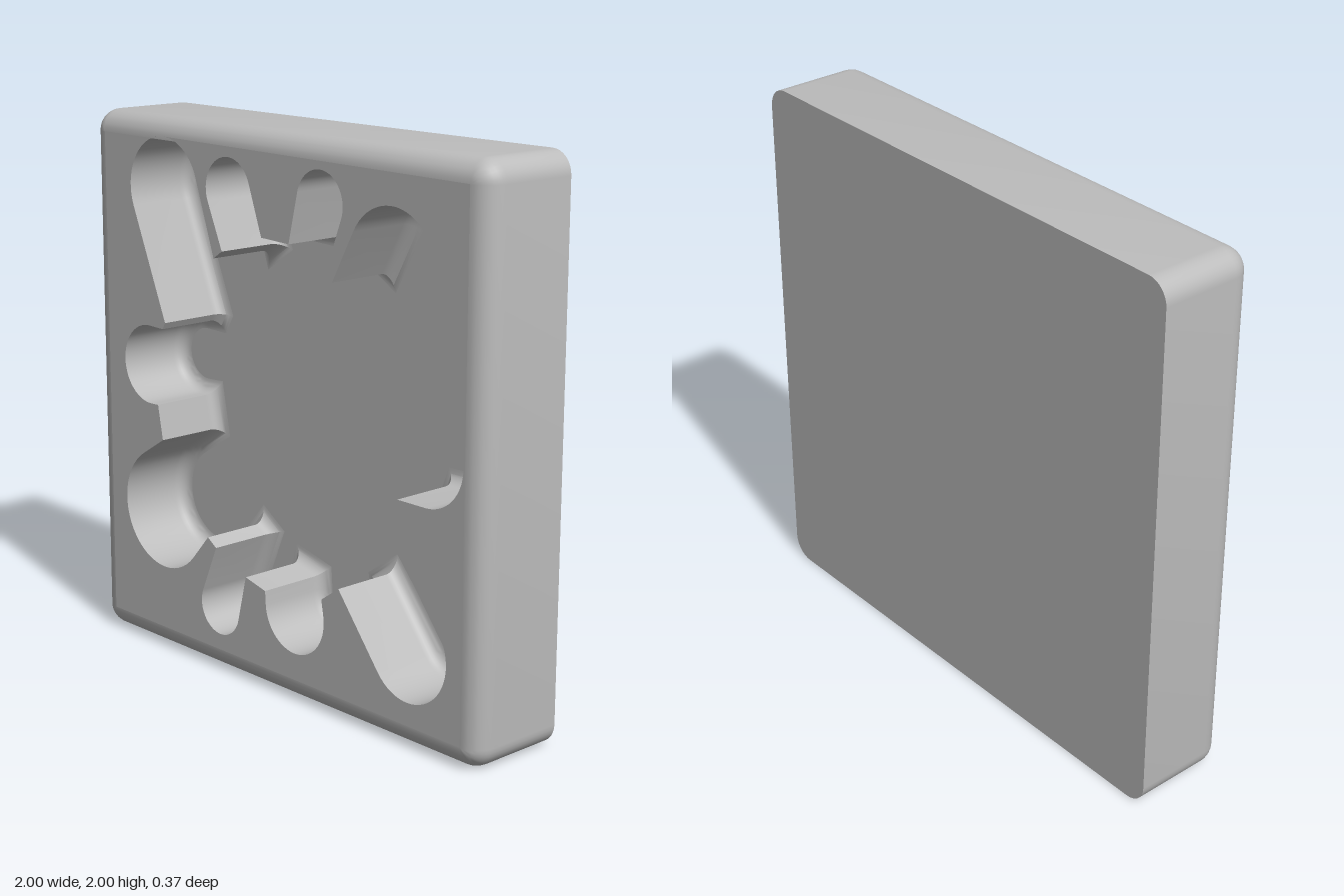
import * as THREE from 'three';
import { toCreasedNormals } from 'three/addons/utils/BufferGeometryUtils.js';

const FRONT = 0.187, BACK = -0.187, EDGE = 0.08;
const FLOOR = -0.09, FILLET = 0.05, STEPS = 8;

// Lobes of the splash, anticlockwise: start corner, circle centre, radius, end corner
const LOBES = [
  [0.62, 0.855, 0.75, 1.02, 0.165, 0.605, 1.18],
  [0.565, 1.275, 0.58, 1.615, 0.2, 0.305, 1.53],
  [0.27, 1.55, 0.243, 1.785, 0.112, 0.09, 1.63],
  [-0.05, 1.635, -0.225, 1.775, 0.118, -0.26, 1.56],
  [-0.305, 1.53, -0.58, 1.74, 0.192, -0.585, 1.255],
  [-0.6, 1.23, -0.68, 1.085, 0.147, -0.635, 0.94],
  [-0.61, 0.81, -0.61, 0.545, 0.225, -0.355, 0.495],
  [-0.31, 0.465, -0.29, 0.245, 0.105, -0.145, 0.395],
  [-0.04, 0.37, 0.115, 0.33, 0.152, 0.255, 0.415],
  [0.34, 0.475, 0.675, 0.34, 0.178, 0.57, 0.73],
];

// Splash outline: each lobe is an arc joined to its corners by tangent lines
function splashOutline() {
  const pts = [];
  for (const [sx, sy, cx, cy, r, ex, ey] of LOBES) {
    const tangent = (x, y) => Math.acos(Math.min(1, r / Math.hypot(x - cx, y - cy)));
    const a = Math.atan2(sy - cy, sx - cx) + tangent(sx, sy);
    let b = Math.atan2(ey - cy, ex - cx) - tangent(ex, ey);
    while (b < a) b += Math.PI * 2;
    pts.push(new THREE.Vector2(sx, sy));
    for (let i = 0; i <= 28; i++) {
      const t = a + (b - a) * i / 28;
      pts.push(new THREE.Vector2(cx + r * Math.cos(t), cy + r * Math.sin(t)));
    }
    pts.push(new THREE.Vector2(ex, ey));
  }
  return pts;
}

// Mitred inward offset of an anticlockwise outline
function inset(pts, d) {
  const n = pts.length;
  const normal = (p, q) => new THREE.Vector2(p.y - q.y, q.x - p.x).normalize();
  return pts.map((p, i) => {
    const n1 = normal(pts[(i + n - 1) % n], p), n2 = normal(p, pts[(i + 1) % n]);
    const m = n1.clone().add(n2);
    return p.clone().addScaledVector(m, d / Math.max(0.5, 1 + n1.dot(n2)));
  });
}

// Square outline with rounded corners of radius r about fixed corner centres
function squareOutline(r) {
  const pts = [], c = 1 - EDGE;
  for (let k = 0; k < 4; k++) {
    const mid = Math.PI / 4 + k * Math.PI / 2;
    for (let i = 0; i <= STEPS; i++) {
      const t = k * Math.PI / 2 + i / STEPS * Math.PI / 2;
      pts.push(new THREE.Vector2(
        c * Math.sign(Math.cos(mid)) + r * Math.cos(t),
        1 + c * Math.sign(Math.sin(mid)) + r * Math.sin(t)));
    }
  }
  return pts;
}

// Skin closed rings [{pts, z}] into a wall
function loft(rings) {
  const n = rings[0].pts.length, pos = [], index = [];
  for (const { pts, z } of rings) for (const p of pts) pos.push(p.x, p.y, z);
  for (let j = 0; j < rings.length - 1; j++) {
    for (let i = 0; i < n; i++) {
      const a = j * n + i, b = j * n + (i + 1) % n;
      index.push(a, b, b + n, a, b + n, a + n);
    }
  }
  const g = new THREE.BufferGeometry();
  g.setAttribute('position', new THREE.Float32BufferAttribute(pos, 3));
  g.setIndex(index);
  return toCreasedNormals(g, 0.5);
}

export function createModel() {
  const group = new THREE.Group();
  group.name = 'mouldBlock';
  const grey = new THREE.MeshStandardMaterial({ color: 0xbcbcbc });
  grey.name = 'grey';
  const add = (name, geometry, z = 0) => {
    const mesh = new THREE.Mesh(geometry, grey);
    mesh.name = name;
    mesh.position.z = z;
    group.add(mesh);
    return mesh;
  };

  // Block sides with the front edge rounded over
  const sides = [{ pts: squareOutline(EDGE), z: BACK }];
  for (let i = 0; i <= STEPS; i++) {
    const t = i / STEPS * Math.PI / 2;
    sides.push({
      pts: squareOutline(Math.max(0.0005, EDGE * Math.cos(t))),
      z: FRONT - EDGE + EDGE * Math.sin(t),
    });
  }
  add('blockSides', loft(sides));

  // Flat back
  const back = add('blockBack', new THREE.ShapeGeometry(new THREE.Shape(squareOutline(EDGE))), BACK);
  back.rotation.y = Math.PI;

  // Front face pierced by the splash
  const splash = splashOutline();
  const face = new THREE.Shape(squareOutline(0.0005));
  face.holes.push(new THREE.Path(splash));
  add('blockFront', new THREE.ShapeGeometry(face), FRONT);

  // Cavity wall with a fillet at its foot
  const wall = [{ pts: splash, z: FRONT }];
  for (let i = 0; i <= STEPS; i++) {
    const t = i / STEPS * Math.PI / 2;
    wall.push({
      pts: inset(splash, FILLET * (1 - Math.cos(t))),
      z: FLOOR + FILLET * (1 - Math.sin(t)),
    });
  }
  add('cavityWall', loft(wall));

  // Cavity floor
  add('cavityFloor', new THREE.ShapeGeometry(new THREE.Shape(inset(splash, FILLET))), FLOOR);

  return group;
}
